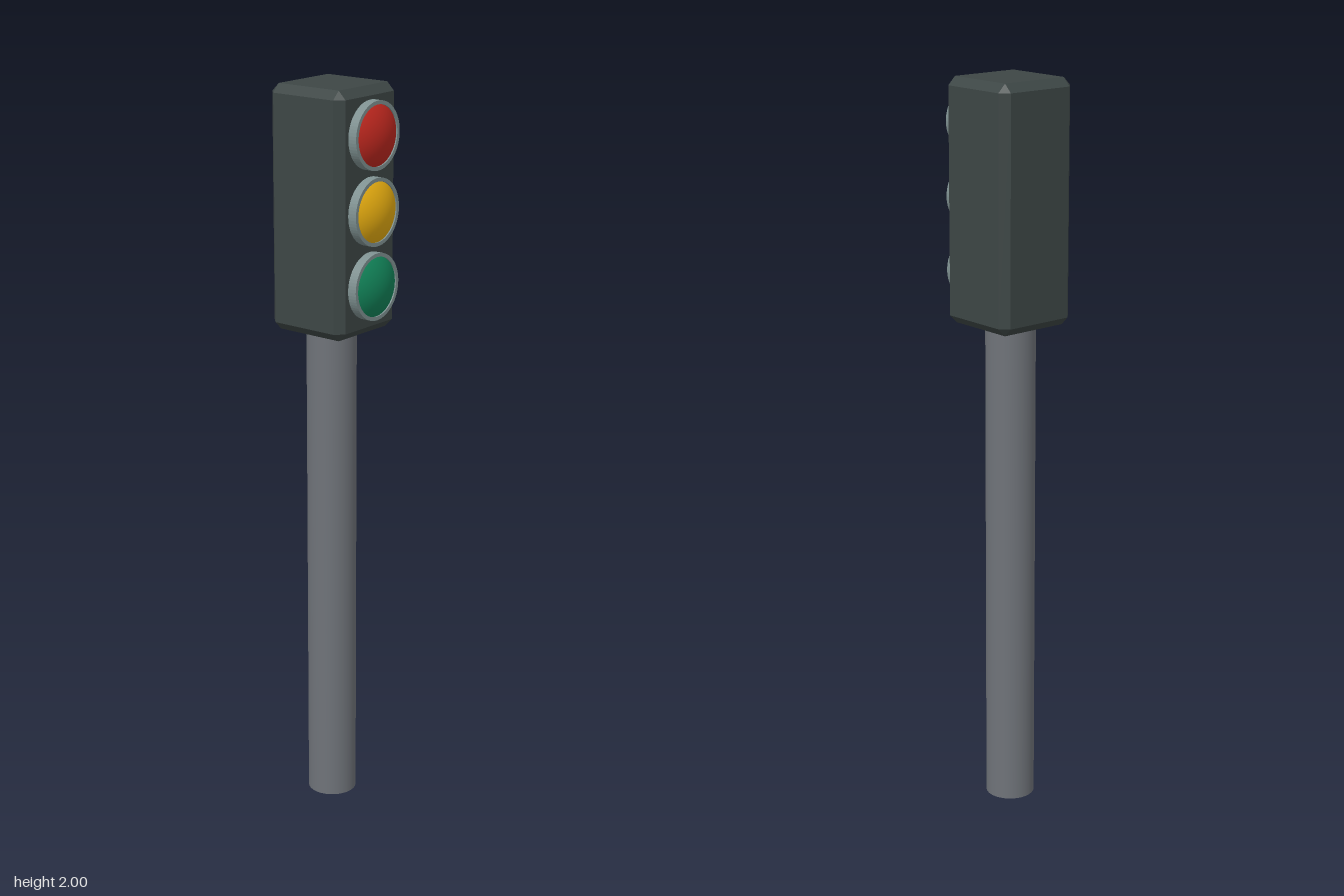
import * as THREE from 'three';
import { ConvexGeometry } from 'three/addons/geometries/ConvexGeometry.js';

const paint = (color, extra = {}) => new THREE.MeshStandardMaterial({ color, ...extra });

// Box with every edge cut at 45 degrees and a small triangle at each corner
function chamferedBox(w, h, d, c) {
  const points = [];
  for (const x of [-w / 2, w / 2])
    for (const y of [-h / 2, h / 2])
      for (const z of [-d / 2, d / 2]) {
        const ix = x - Math.sign(x) * c, iy = y - Math.sign(y) * c, iz = z - Math.sign(z) * c;
        points.push(
          new THREE.Vector3(x, iy, iz),
          new THREE.Vector3(ix, y, iz),
          new THREE.Vector3(ix, iy, z));
      }
  return new ConvexGeometry(points);
}

// Flat-faced ring with a square section, axis along +y
function ringGeometry(inner, outer, depth) {
  const shape = new THREE.Shape().absarc(0, 0, outer, 0, Math.PI * 2);
  shape.holes.push(new THREE.Path().absarc(0, 0, inner, 0, Math.PI * 2, true));
  return new THREE.ExtrudeGeometry(shape, { depth, bevelEnabled: false, curveSegments: 32 })
    .rotateX(-Math.PI / 2);
}

// Shallow spherical cap, rim at y = 0, bulging along +y
function lensGeometry(radius, height) {
  const R = (radius * radius + height * height) / (2 * height);
  return new THREE.SphereGeometry(R, 32, 10, 0, Math.PI * 2, 0, Math.asin(radius / R))
    .translate(0, height - R, 0);
}

export function createModel() {
  const model = new THREE.Group();
  const add = (parent, name, geometry, material, x, y, z) => {
    const mesh = new THREE.Mesh(geometry, material);
    mesh.name = name;
    mesh.position.set(x, y, z);
    parent.add(mesh);
  };

  // Pole and signal housing
  add(model, 'pole', new THREE.CylinderGeometry(0.067, 0.067, 1.37, 32), paint(0x6f7379), -0.029, 0.685, 0);
  add(model, 'housing', chamferedBox(0.24, 0.645, 0.24, 0.022), paint(0x3d4645), -0.023, 1.6775, 0);

  // Three lamps facing +x: a rim with a domed lens set in it
  const rim = ringGeometry(0.079, 0.089, 0.03);
  const lens = lensGeometry(0.0795, 0.024);
  const rimPaint = paint(0x7f9191);
  const lamps = [
    ['red', 0xc0281f, 1.879],
    ['amber', 0xe8ae10, 1.683],
    ['green', 0x12855a, 1.487],
  ];
  for (const [name, color, y] of lamps) {
    const lamp = new THREE.Group();
    lamp.name = `${name}Lamp`;
    lamp.position.set(0.092, y, -0.002);
    lamp.rotation.z = -Math.PI / 2;
    add(lamp, `${name}Rim`, rim, rimPaint, 0, 0, 0);
    add(lamp, `${name}Lens`, lens, paint(color, { side: THREE.DoubleSide }), 0, 0.026, 0);
    model.add(lamp);
  }
  return model;
}
